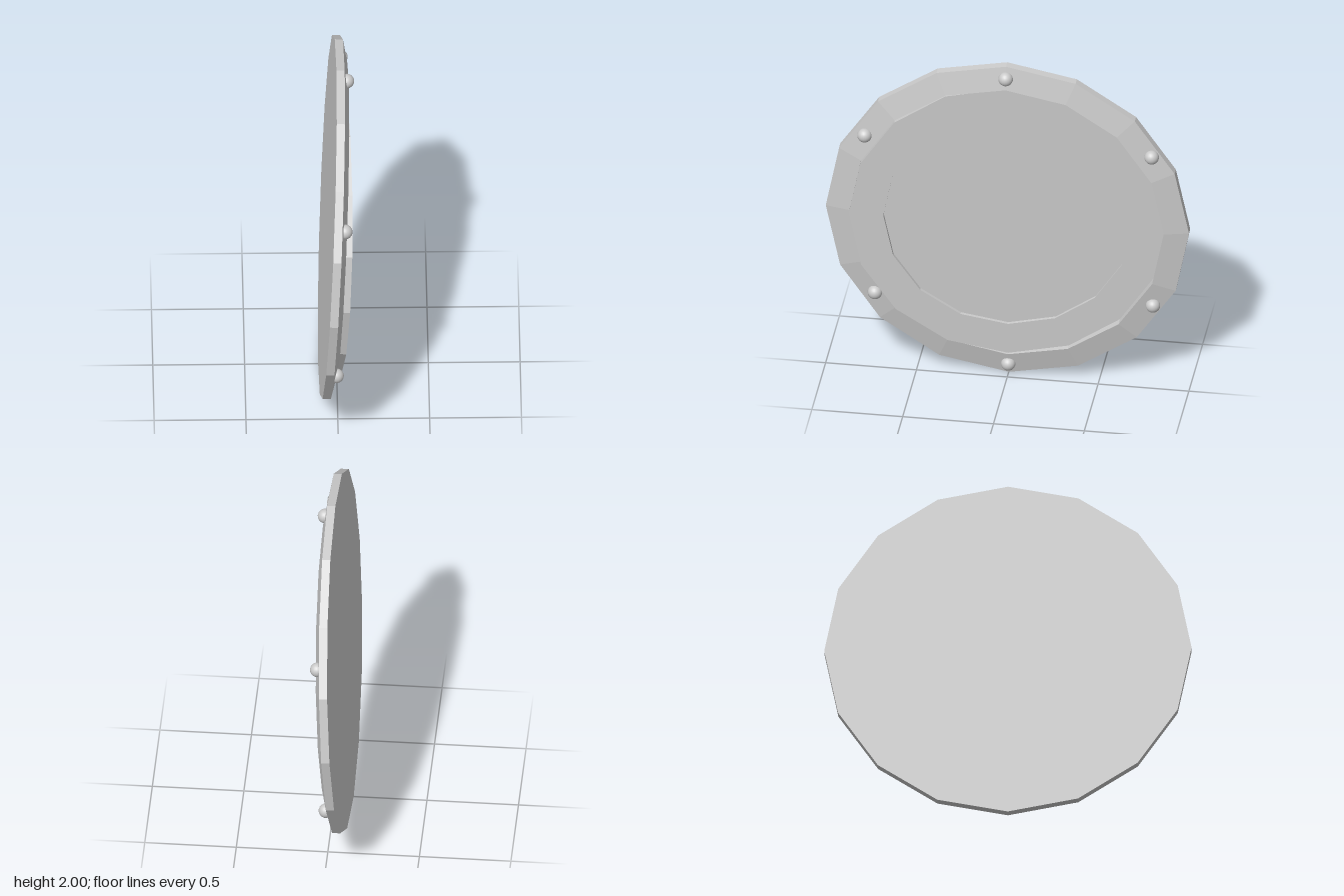
import * as THREE from 'three';

const SIDES = 16;

// Lathe profile of [radius, height] pairs, turned so its axis points along +x
function dish(profile) {
  const points = profile.map(([r, h]) => new THREE.Vector2(r, h));
  return new THREE.LatheGeometry(points, SIDES).rotateZ(-Math.PI / 2);
}

export function createModel() {
  const group = new THREE.Group();
  group.name = 'shield';
  const faceted = new THREE.MeshStandardMaterial({ color: 0xcccccc, flatShading: true });
  const smooth = new THREE.MeshStandardMaterial({ color: 0xcccccc });

  function add(name, geometry, material) {
    const mesh = new THREE.Mesh(geometry, material);
    mesh.name = name;
    group.add(mesh);
    return mesh;
  }

  // Outer body: flat back, rim edge, sloping rim face and inner wall
  add('rim', dish([[0, 0], [1, 0], [1, 0.045], [0.865, 0.075], [0.865, 0.004]]), faceted);

  // Face plate with a shallow recess; its front leans out towards +z
  const plate = dish([[0.864, 0.004], [0.864, 0.062], [0.675, 0.062], [0.675, 0.044], [0, 0.044]]);
  const pos = plate.attributes.position;
  for (let i = 0; i < pos.count; i++) {
    if (pos.getX(i) > 0.01) pos.setX(i, pos.getX(i) + 0.058 * pos.getZ(i));
  }
  plate.computeVertexNormals();
  add('facePlate', plate, faceted);

  // Round studs seated on the rim, as [height from centre, z]
  const studs = [[0.93, 0], [0.49, 0.78], [0.49, -0.8], [-0.53, 0.73], [-0.48, -0.8], [-0.935, 0]];
  const studGeometry = new THREE.SphereGeometry(0.04, 20, 14);
  for (const [y, z] of studs) {
    const r = Math.hypot(y, z);
    add('stud', studGeometry, smooth).position.set(0.045 + (1 - r) * 0.22, y, z);
  }

  // Lean the whole disc slightly so the top tips towards +x
  group.rotation.z = -0.05;
  group.position.set(-0.05, 1, 0);

  const model = new THREE.Group();
  model.add(group);
  return model;
}
